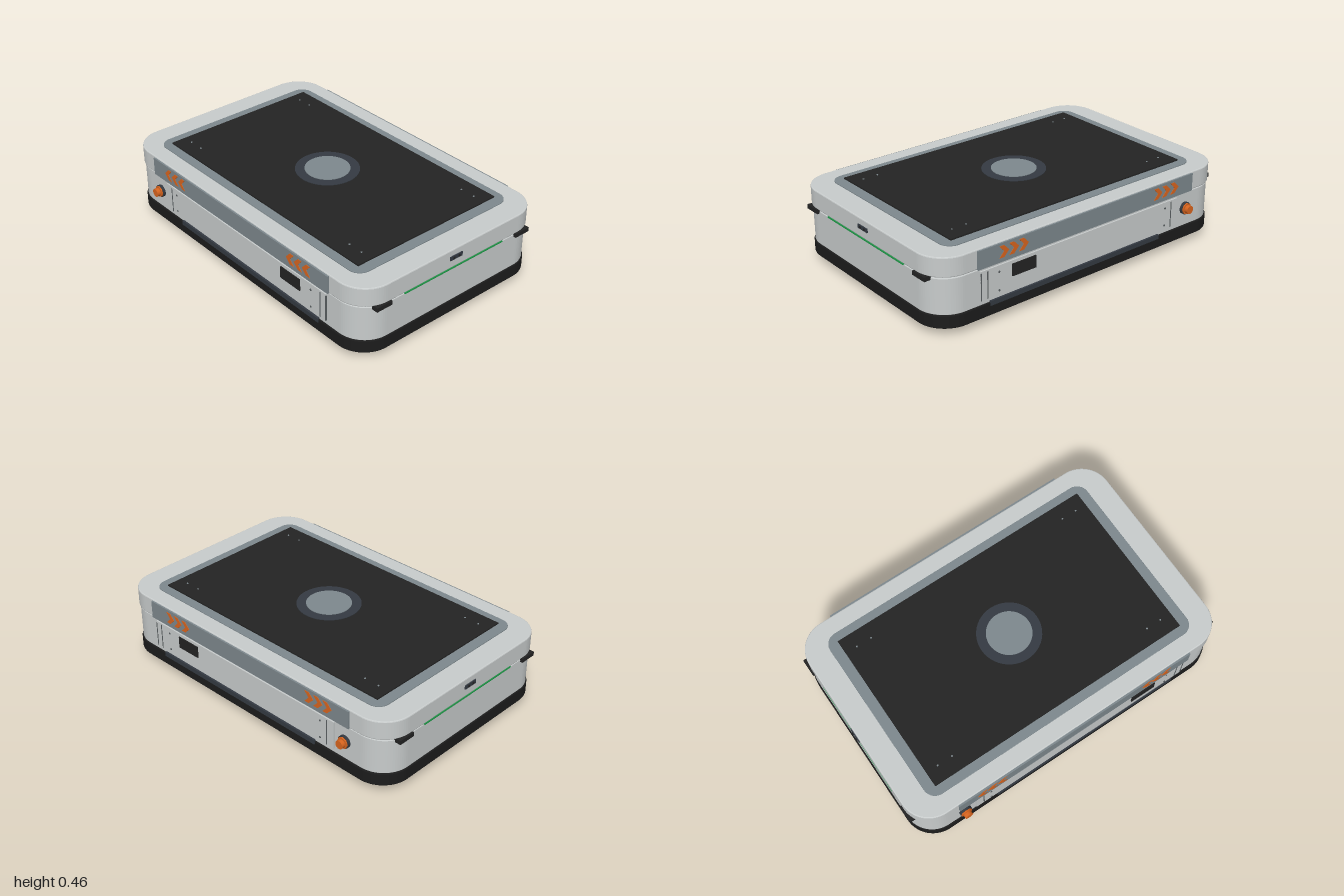
import * as THREE from 'three';

const mat = (name, color, extra = {}) => Object.assign(new THREE.MeshStandardMaterial({ color, ...extra }), { name });

export function createModel() {
  const root = new THREE.Group();
  root.name = 'transportRobot';
  const shell = mat('light grey shell', 0xc8cccc);
  const slate = mat('slate grey', 0x7d888d);
  const black = mat('deck black', 0x232323);
  const baseBlack = mat('bumper black', 0x1c1c1c);
  const seam = mat('seam grey', 0x5a6062);
  const navy = mat('dark blue grey', 0x343a42);
  const orange = mat('orange', 0xd9651f);
  const green = mat('green light', 0x1f9a48);

  const add = (name, geo, material, x = 0, y = 0, z = 0) => {
    const m = new THREE.Mesh(geo, material);
    m.name = name;
    m.position.set(x, y, z);
    root.add(m);
    return m;
  };
  // box given by its limits; s mirrors it across x
  const box = (name, material, x0, x1, y0, y1, z0, z1, s = 1) =>
    add(name, new THREE.BoxGeometry(x1 - x0, y1 - y0, z1 - z0), material,
      s * (x0 + x1) / 2, (y0 + y1) / 2, (z0 + z1) / 2);
  // horizontal slab with rounded corners and a small bevel
  const slab = (name, material, hx, hz, r, y0, y1, b = 0.004) => {
    const w = hx - b, d = hz - b, q = r - b, sh = new THREE.Shape();
    sh.absarc(w - q, d - q, q, 0, Math.PI / 2);
    sh.absarc(-w + q, d - q, q, Math.PI / 2, Math.PI);
    sh.absarc(-w + q, -d + q, q, Math.PI, Math.PI * 1.5);
    sh.absarc(w - q, -d + q, q, Math.PI * 1.5, Math.PI * 2);
    const g = new THREE.ExtrudeGeometry(sh, {
      depth: y1 - y0 - 2 * b, bevelEnabled: b > 0, bevelSize: b, bevelThickness: b,
      bevelSegments: 2, curveSegments: 10,
    });
    g.rotateX(-Math.PI / 2);
    return add(name, g, material, 0, y0 + b, 0);
  };
  const disc = (name, material, r, y0, y1, x = 0, z = 0, n = 48) =>
    add(name, new THREE.CylinderGeometry(r, r, y1 - y0, n), material, x, (y0 + y1) / 2, z);

  // stacked body
  slab('baseBumper', baseBlack, 0.635, 0.99, 0.17, 0.047, 0.122, 0.006);
  slab('lowerBody', shell, 0.628, 0.985, 0.165, 0.12, 0.324);
  slab('bodySeam', seam, 0.618, 0.975, 0.155, 0.32, 0.334, 0);
  slab('upperBody', shell, 0.635, 0.99, 0.17, 0.33, 0.44, 0.006);

  // load deck
  slab('deckFrame', slate, 0.537, 0.855, 0.07, 0.435, 0.446, 0.002);
  box('deckPlate', black, -0.485, 0.485, 0.445, 0.454, -0.795, 0.795);
  disc('turntableRing', navy, 0.18, 0.45, 0.457);
  disc('turntableDisc', slate, 0.127, 0.45, 0.46);
  for (const x of [-0.4, 0.4])
    for (const z of [-0.725, -0.635, 0.635, 0.725])
      disc('deckPin', slate, 0.005, 0.45, 0.457, x, z, 8);

  // front and back fittings
  for (const f of [1, -1]) {
    const plate = (name, material, cx, w, y0, y1, zi, zo) =>
      add(name, new THREE.BoxGeometry(w, y1 - y0, zo - zi), material, cx, (y0 + y1) / 2, f * (zi + zo) / 2);
    plate('lightStrip', green, 0, 0.7, 0.322, 0.329, 0.97, 0.991);
    plate('sensorHousing', navy, 0, 0.085, 0.38, 0.403, 0.98, 0.996);
    for (const x of [-0.018, 0.018]) {
      const lens = add('sensorLens', new THREE.CylinderGeometry(0.007, 0.007, 0.004, 12), black, x, 0.392, f * 0.997);
      lens.rotation.x = Math.PI / 2;
    }
    for (const x of [-0.493, 0.493])
      plate('cornerSensor', black, x, 0.1, 0.31, 0.334, 0.96, 1);
  }

  // side fittings, mirrored
  for (const s of [1, -1]) {
    box('sidePanel', slate, 0.62, 0.645, 0.33, 0.434, -0.75, 0.75, s);
    box('accessPanel', shell, 0.62, 0.637, 0.148, 0.312, -0.645, 0.73, s);
    box('bumperLip', navy, 0.62, 0.64, 0.104, 0.13, -0.51, 0.67, s);
    for (const z of [0.727, 0.687, -0.597])
      box('panelGroove', seam, 0.63, 0.6385, 0.15, 0.303, z - 0.003, z + 0.003, s);
    for (const z of [0.615, -0.55])
      for (const y of [0.173, 0.277]) {
        const bolt = add('panelBolt', new THREE.CylinderGeometry(0.006, 0.006, 0.006, 8), seam, s * 0.637, y, z);
        bolt.rotation.z = Math.PI / 2;
      }
    box('vent', black, 0.62, 0.643, 0.225, 0.294, 0.378, 0.532, s);

    // emergency stop button
    for (const [name, m, r, x0, x1, n] of [
      ['buttonCollar', navy, 0.036, 0.62, 0.644, 24],
      ['buttonBody', orange, 0.022, 0.64, 0.66, 24],
      ['buttonNut', orange, 0.033, 0.643, 0.652, 8],
      ['buttonCap', orange, 0.024, 0.654, 0.674, 24],
    ]) {
      const b = add(name, new THREE.CylinderGeometry(r, r, x1 - x0, n), m, s * (x0 + x1) / 2, 0.23, -0.715);
      b.rotation.z = Math.PI / 2;
    }

    // painted arrows
    const pts = [[0, -0.033], [0.03, -0.033], [0.062, 0], [0.03, 0.033], [0, 0.033], [0.03, 0]];
    const arrow = new THREE.Shape(pts.map(([x, y]) => new THREE.Vector2(s * x, y)));
    for (const start of [0.62, -0.45])
      for (let i = 0; i < 3; i++) {
        const g = new THREE.ExtrudeGeometry(arrow, { depth: 0.004, bevelEnabled: false });
        g.rotateY(s * Math.PI / 2);
        add('arrow', g, orange, s * 0.643, 0.387, start - i * 0.063);
      }

    // wheels
    for (const z of [-0.61, 0.61]) {
      const w = add('wheel', new THREE.CylinderGeometry(0.056, 0.056, 0.07, 32), black, s * 0.48, 0.056, z);
      w.rotation.z = Math.PI / 2;
    }
  }
  return root;
}
